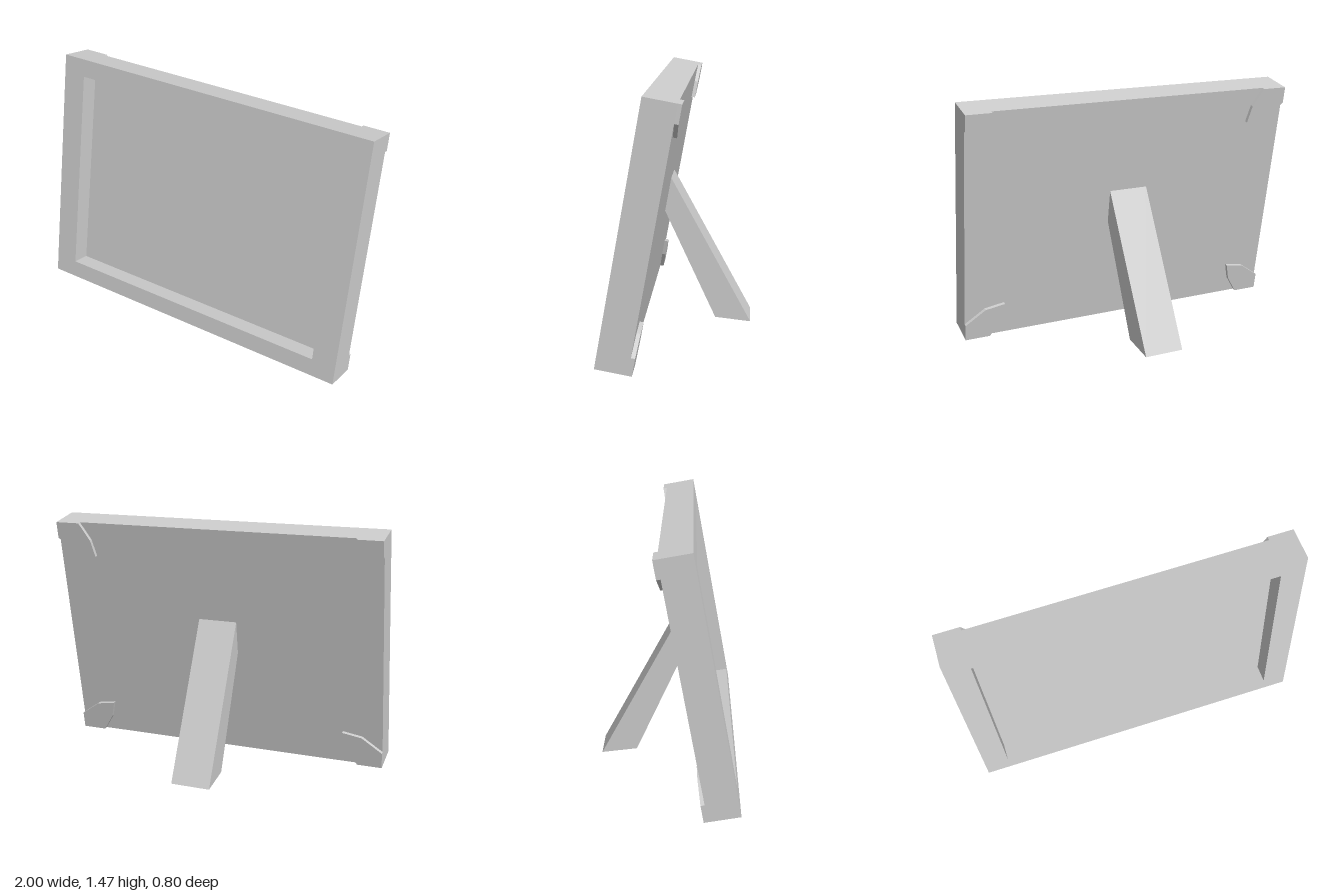
import * as THREE from 'three';

const material = new THREE.MeshStandardMaterial({ color: 0xcccccc, flatShading: true });

function makeMesh(name, geometry) {
  const mesh = new THREE.Mesh(geometry, material);
  mesh.name = name;
  return mesh;
}

const toPoints = (list) => list.map(([x, y]) => new THREE.Vector2(x, y));

function extrude(shape, depth) {
  return new THREE.ExtrudeGeometry(shape, { depth, bevelEnabled: false });
}

export function createModel() {
  const model = new THREE.Group();
  const height = 1.426, recess = 0.107, thickness = 0.176;

  // Leaning body: origin on the lower front edge, y runs up the front face
  const body = new THREE.Group();
  body.name = 'tiltedFrame';
  body.position.set(0, 0.065, 0.4);
  body.rotation.x = -0.1834;
  model.add(body);

  // Front border around the picture opening
  const border = new THREE.Shape(toPoints([[-1, 0], [1, 0], [1, height], [-1, height]]));
  const [x, y0, y1] = [0.857, 0.102, height - 0.103];
  border.holes.push(new THREE.Path(toPoints([[-x, y0], [-x, y1], [x, y1], [x, y0]])));
  const borderMesh = makeMesh('frameBorder', extrude(border, recess));
  borderMesh.position.z = -recess;
  body.add(borderMesh);

  // Back panel, its front is the floor of the recess
  const panelDepth = thickness - recess;
  const panel = makeMesh('backPanel', new THREE.BoxGeometry(2, height, panelDepth));
  panel.position.set(0, height / 2, -recess - panelDepth / 2);
  body.add(panel);

  // Raised corner guards on the back: offsets inward from each corner
  const guard = [[0, 0], [0.15, 0], [0.215, 0.105], [0.24, 0.208], [0.122, 0.188], [0, 0.1]];
  for (const sx of [-1, 1]) {
    for (const top of [false, true]) {
      const outline = guard.map(([a, b]) => [sx * (1 - a), top ? height - b : b]);
      const name = (top ? 'upper' : 'lower') + (sx > 0 ? 'Left' : 'Right') + 'CornerGuard';
      const mesh = makeMesh(name, extrude(new THREE.Shape(toPoints(outline)), 0.022));
      mesh.position.z = -thickness - 0.022;
      body.add(mesh);
    }
  }

  // Rear prop: side profile in (z, y), swept across x and set slightly askew
  const width = 0.236;
  const profile = new THREE.Shape(toPoints([[0.075, 0.885], [-0.4, 0.0], [-0.19, 0.025], [0.112, 0.69]]));
  const prop = extrude(profile, width).rotateY(-Math.PI / 2).translate(width / 2, 0, 0);
  const p = prop.attributes.position;
  for (let i = 0; i < p.count; i++) p.setX(i, p.getX(i) - 0.004 + 0.025 * (p.getZ(i) + 0.033));
  prop.computeVertexNormals();
  model.add(makeMesh('rearStand', prop));

  return model;
}
